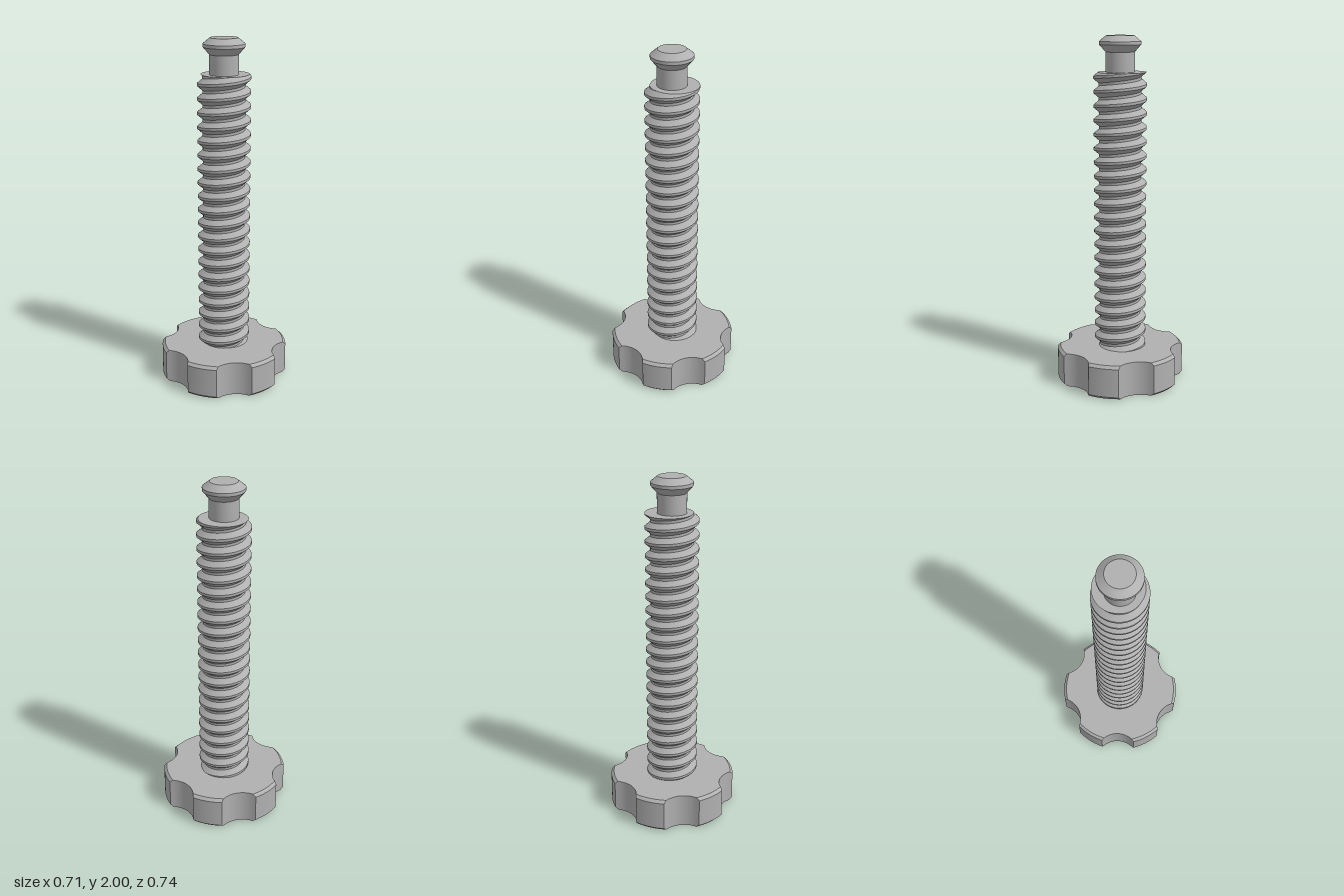
import * as THREE from 'three';
import { toCreasedNormals } from 'three/addons/utils/BufferGeometryUtils.js';

const TAU = Math.PI * 2;

// Smooth curved faces, keep edges sharp (enlarged while merging so small details stay separate)
function crease(geometry) {
  const big = geometry.scale(100, 100, 100);
  return toCreasedNormals(big, 0.5).scale(0.01, 0.01, 0.01);
}

// Point at angle a (counter-clockwise seen from above)
const polar = (r, a, y) => new THREE.Vector3(r * Math.cos(a), y, -r * Math.sin(a));

// Skin a stack of rings, bottom to top, leaving out collapsed triangles
function loft(rings) {
  const pos = [];
  const tri = new THREE.Triangle();
  const add = (a, b, c) => {
    if (tri.set(a, b, c).getArea() > 1e-9) pos.push(...a, ...b, ...c);
  };
  for (let j = 0; j < rings.length - 1; j++) {
    const lo = rings[j], hi = rings[j + 1];
    for (let i = 0; i < lo.length - 1; i++) {
      add(lo[i], lo[i + 1], hi[i + 1]);
      add(lo[i], hi[i + 1], hi[i]);
    }
  }
  const g = new THREE.BufferGeometry();
  g.setAttribute('position', new THREE.Float32BufferAttribute(pos, 3));
  return crease(g);
}

// Grip outline: a circle of radius R with six round finger notches
function gripRing(R, y) {
  const c = 0.45, n = 0.14, lobes = 6, steps = 14;
  const half = Math.acos((R * R + c * c - n * n) / (2 * R * c));
  const ring = [];
  for (let k = 0; k < lobes; k++) {
    const mid = (k * TAU) / lobes;
    for (let i = 0; i < steps; i++) {
      const a = half * ((2 * i) / steps - 1);
      const s = c * Math.sin(a);
      ring.push(polar(c * Math.cos(a) - Math.sqrt(Math.max(0, n * n - s * s)), mid + a, y));
    }
    for (let i = 0; i < steps; i++) {
      const a = half + (TAU / lobes - 2 * half) * (i / steps);
      ring.push(polar(R, mid + a, y));
    }
  }
  ring.push(ring[0].clone());
  return ring;
}

function gripGeometry() {
  const R = 0.37, ch = 0.016, h = 0.2;
  const rings = [[R - ch, 0], [R, ch], [R, h - ch], [R - ch, h]].map(([r, y]) => gripRing(r, y));
  const centre = (y) => rings[0].map(() => new THREE.Vector3(0, y, 0));
  return loft([centre(0), ...rings, centre(h)]);
}

// Right-hand screw thread with flat crests and roots, cut level at both ends
function threadGeometry() {
  const pitch = 0.08, crest = 0.15, root = 0.12, flat = 0.0075, crestY = 1.78;
  const y0 = 0.195, y1 = 1.8, segs = 72;
  const radius = (y, a) => {
    const t = (y - crestY) / pitch - a / TAU;
    const d = Math.abs(t - Math.round(t)) * pitch;
    return crest - (crest - root) * THREE.MathUtils.clamp((d - flat) / (pitch / 2 - 2 * flat), 0, 1);
  };
  const helix = (base) => Array.from({ length: segs + 1 }, (_, i) => {
    const a = (i / segs) * TAU;
    const y = THREE.MathUtils.clamp(base + (pitch * i) / segs, y0, y1);
    return polar(radius(y, a), a, y);
  });
  const centre = (y) => Array.from({ length: segs + 1 }, () => new THREE.Vector3(0, y, 0));
  const rings = [centre(y0)];
  for (let k = -22; k <= 2; k++) {
    for (const o of [-flat, flat, pitch / 2 - flat, pitch / 2 + flat]) {
      rings.push(helix(crestY + k * pitch + o));
    }
  }
  rings.push(centre(y1));
  return loft(rings);
}

// Narrow neck and chamfered button end
function tipGeometry() {
  const profile = [
    [0.082, 1.79], [0.082, 1.91], [0.117, 1.95], [0.117, 1.968], [0.077, 2], [0, 2],
  ].map(([r, y]) => new THREE.Vector2(r, y));
  return crease(new THREE.LatheGeometry(profile, 64));
}

export function createModel() {
  const steel = new THREE.MeshStandardMaterial({ color: 0xb0b0b0 });
  steel.name = 'grey steel';

  const model = new THREE.Group();
  model.name = 'thumbScrew';
  const parts = {
    gripKnob: gripGeometry(),
    threadedShaft: threadGeometry(),
    neckAndTip: tipGeometry(),
  };
  for (const [name, geometry] of Object.entries(parts)) {
    const mesh = new THREE.Mesh(geometry, steel);
    mesh.name = name;
    model.add(mesh);
  }
  return model;
}
